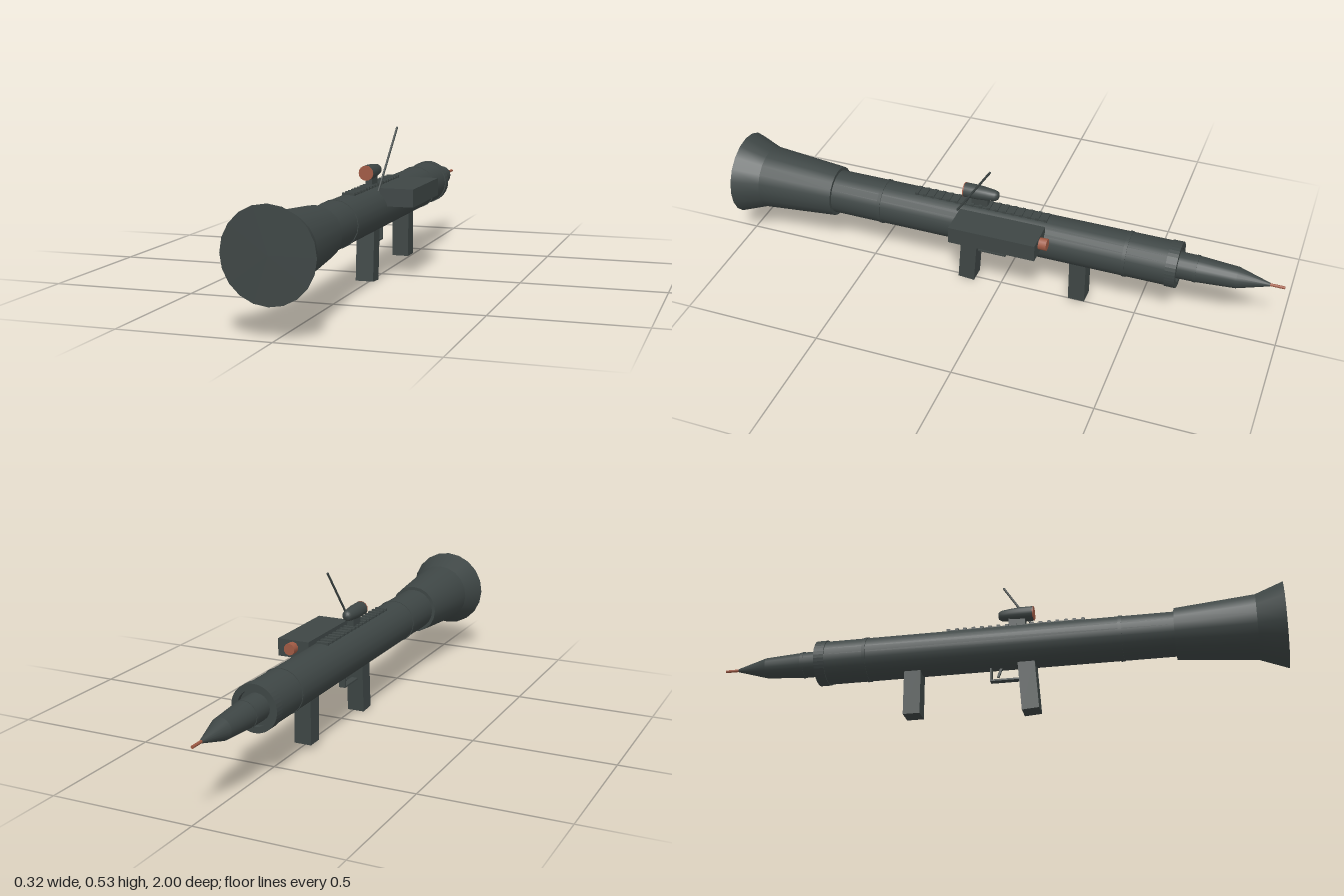
import * as THREE from 'three';

export function createModel() {
  const root = new THREE.Group();
  root.name = 'shoulderLauncher';
  const gunmetal = new THREE.MeshStandardMaterial({ color: 0x3e4645 });
  gunmetal.name = 'gunmetal';
  const copper = new THREE.MeshStandardMaterial({ color: 0xa05a44 });
  copper.name = 'copper';
  const AX = -0.011, AY = 0.252; // bore axis

  function add(name, geometry, material = gunmetal, parent = root) {
    const mesh = new THREE.Mesh(geometry, material);
    mesh.name = name;
    parent.add(mesh);
    return mesh;
  }
  // Round section along z, from zFront (radius r1) to zBack (radius r0)
  function round(name, zBack, r0, zFront, r1, opt = {}) {
    const { x = AX, y = AY, mat = gunmetal, sides = 20, open = false } = opt;
    const g = new THREE.CylinderGeometry(r0, r1, zBack - zFront, sides, 1, open);
    g.rotateX(Math.PI / 2);
    g.translate(x, y, (zBack + zFront) / 2);
    return add(name, g, mat);
  }
  // Box given by its limits
  function box(name, x0, x1, y0, y1, z0, z1, mat) {
    const g = new THREE.BoxGeometry(x1 - x0, y1 - y0, z1 - z0);
    g.translate((x0 + x1) / 2, (y0 + y1) / 2, (z0 + z1) / 2);
    return add(name, g, mat);
  }

  // Flared exhaust bell
  round('bellFlare', 1, 0.148, 0.905, 0.113);
  round('bellCone', 0.905, 0.113, 0.63, 0.09);

  // Launch tube with thin bands
  round('tube', 0.64, 0.078, -0.625, 0.078);
  for (const z of [0.445, -0.46]) round('tubeBand', z + 0.006, 0.0805, z - 0.006, 0.0805);
  round('frontTaper', -0.59, 0.078, -0.605, 0.074);

  // Muzzle ring with a shallow recess
  const ring = new THREE.Shape().absarc(0, 0, 0.081, 0, Math.PI * 2);
  ring.holes.push(new THREE.Path().absarc(0, 0, 0.06, 0, Math.PI * 2, true));
  const ringGeo = new THREE.ExtrudeGeometry(ring, { depth: 0.037, bevelEnabled: false, curveSegments: 20 });
  ringGeo.translate(AX, AY, -0.642);
  add('muzzleRing', ringGeo);

  // Warhead, nose and fuse pin
  round('warheadBase', -0.6, 0.047, -0.7, 0.046);
  round('warheadBand', -0.695, 0.0475, -0.705, 0.0475);
  round('warheadBody', -0.7, 0.046, -0.84, 0.037);
  round('warheadNose', -0.84, 0.037, -0.95, 0.006);
  round('fusePin', -0.94, 0.005, -1, 0.005, { mat: copper, sides: 10 });

  // Rear grip, leaning back towards the bottom
  const grip = new THREE.BoxGeometry(0.063, 0.19, 0.06);
  grip.rotateX(-0.075);
  grip.translate(AX, 0.1, 0.121);
  add('rearGrip', grip);
  box('frontGrip', AX - 0.031, AX + 0.031, 0.02, 0.2, -0.32, -0.26);

  // Trigger guard and trigger
  box('guardBottom', AX - 0.012, AX + 0.012, 0.126, 0.132, -0.016, 0.095);
  box('guardFront', AX - 0.012, AX + 0.012, 0.126, 0.185, -0.016, -0.01);
  const trigger = box('trigger', -0.004, 0.004, -0.022, 0.022, -0.004, 0.004);
  trigger.position.set(AX, 0.163, 0.018);
  trigger.rotation.x = 0.35;

  // Top rail with cross ribs
  box('railBase', AX - 0.02, AX + 0.02, 0.31, 0.331, -0.17, 0.32);
  for (let i = 0; i < 17; i++) {
    const z = -0.165 + i * 0.03;
    box('railRib', AX - 0.022, AX + 0.022, 0.325, 0.336, z - 0.006, z + 0.006);
  }

  // Sight with rounded front and copper eyepiece
  box('sightMount', AX - 0.012, AX + 0.012, 0.33, 0.37, 0.05, 0.11);
  const sight = new THREE.LatheGeometry([
    [0, 0.012], [0.013, 0.014], [0.019, 0.024], [0.023, 0.055], [0.026, 0.09], [0.026, 0.138],
  ].map(([r, z]) => new THREE.Vector2(r, z)), 16);
  sight.rotateX(Math.PI / 2);
  sight.translate(AX, 0.379, 0);
  add('sightBody', sight);
  round('sightLens', 0.14, 0.026, 0.136, 0.026, { y: 0.379, mat: copper, sides: 16 });

  // Side electronics box with front lens
  box('sideBox', 0.04, 0.157, 0.268, 0.33, -0.175, 0.138);
  round('sideLens', -0.17, 0.021, -0.203, 0.021, { x: 0.1, y: 0.304, mat: copper, sides: 10 });

  // Slanted antenna
  const a = new THREE.Vector3(0.037, 0.32, 0.15), b = new THREE.Vector3(0.062, 0.526, 0.018);
  add('antenna', new THREE.TubeGeometry(new THREE.LineCurve3(a, b), 1, 0.004, 8));
  const tip = add('antennaTip', new THREE.SphereGeometry(0.004, 8, 6));
  tip.position.copy(b);

  return root;
}
